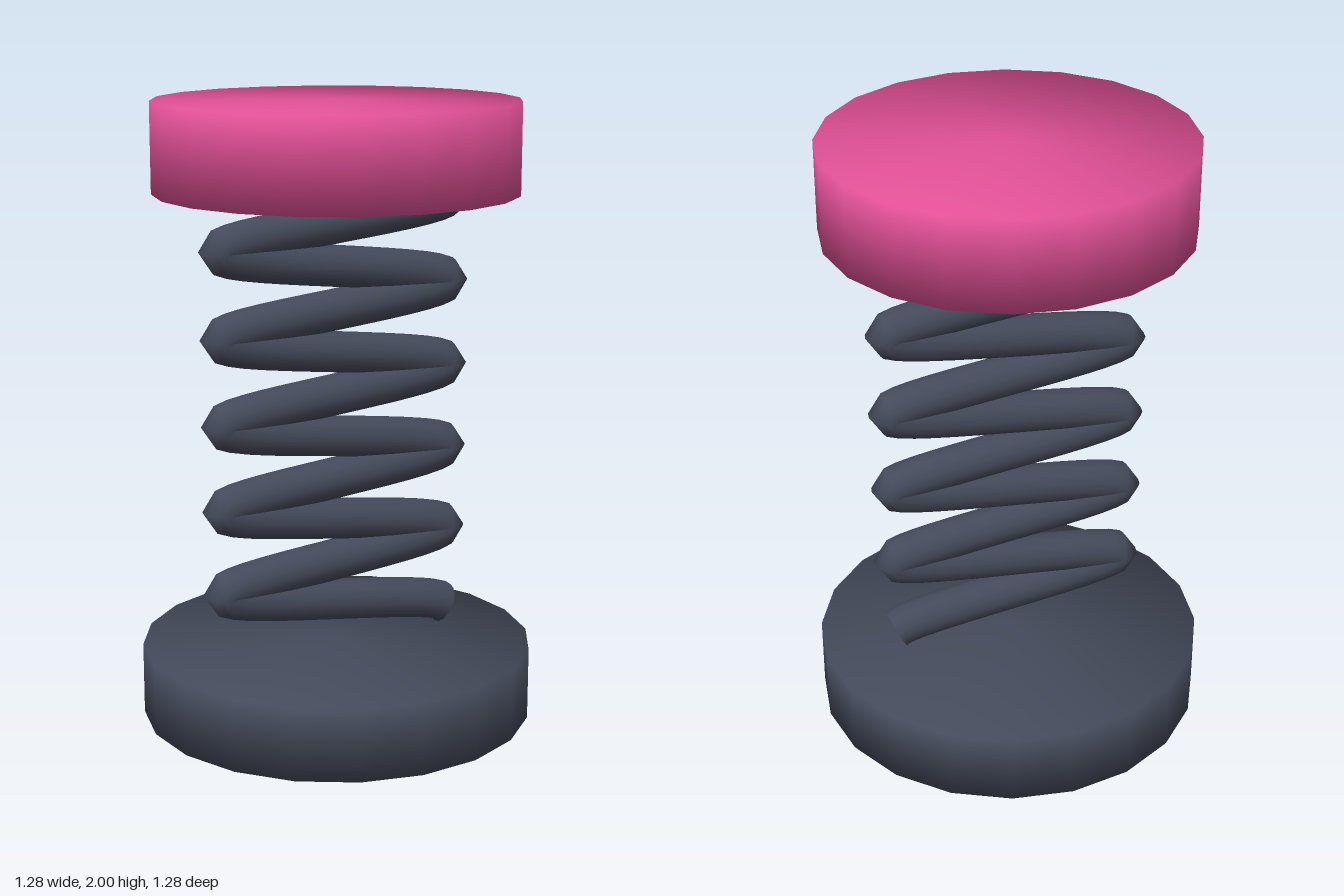
import * as THREE from 'three';

const TURNS = 5, REACH = 0.395, WIRE = 0.067, Y0 = 0.297, Y1 = 1.685;
const STEP = 1 / (TURNS * 14);

// Flat zigzag spring path in the z = 0 plane, sampled evenly by turn
class SpringCurve extends THREE.Curve {
  getPoint(t, target = new THREE.Vector3()) {
    return target.set(REACH * Math.cos(t * TURNS * Math.PI * 2), Y0 + (Y1 - Y0) * t, 0);
  }
  getTangent(t, target = new THREE.Vector3()) {
    const ahead = this.getPoint(Math.min(1, t + STEP));
    return target.copy(ahead).sub(this.getPoint(Math.max(0, t - STEP))).normalize();
  }
  getPointAt(t, target) { return this.getPoint(t, target); }
  getTangentAt(t, target) { return this.getTangent(t, target); }
}

// Twenty-sided disc whose normals run softly over the rim
function softDisc(radius, bottom, top) {
  const geo = new THREE.CylinderGeometry(radius, radius, top - bottom, 20);
  const pos = geo.attributes.position, normal = geo.attributes.normal;
  for (let i = 0; i < pos.count; i++) {
    normal.setXYZ(i,
      pos.getX(i) / radius * Math.SQRT1_2,
      Math.sign(pos.getY(i)) * Math.SQRT1_2,
      pos.getZ(i) / radius * Math.SQRT1_2);
  }
  return geo.translate(0, (bottom + top) / 2, 0);
}

export function createModel() {
  const model = new THREE.Group();
  model.name = 'springPad';
  const pink = new THREE.MeshStandardMaterial({ color: 0xe05096 });
  pink.name = 'pink';
  const slate = new THREE.MeshStandardMaterial({ color: 0x444a5a });
  slate.name = 'slate';

  const add = (name, geometry, material, parent = model) => {
    const mesh = new THREE.Mesh(geometry, material);
    mesh.name = name;
    parent.add(mesh);
    return mesh;
  };

  add('base', softDisc(0.638, 0, 0.235), slate);
  add('topPad', softDisc(0.58, 1.712, 2), pink);

  // Spring wire with flat closed ends
  const spring = new THREE.Group();
  spring.name = 'spring';
  model.add(spring);
  const curve = new SpringCurve();
  add('springWire', new THREE.TubeGeometry(curve, TURNS * 28, WIRE, 16, false), slate, spring);
  for (const [name, t, sign] of [['lowerWireEnd', 0, -1], ['upperWireEnd', 1, 1]]) {
    const end = add(name, new THREE.CircleGeometry(WIRE, 16), slate, spring);
    end.position.copy(curve.getPoint(t));
    const outward = curve.getTangent(t).multiplyScalar(sign);
    end.quaternion.setFromUnitVectors(new THREE.Vector3(0, 0, 1), outward);
  }
  return model;
}
